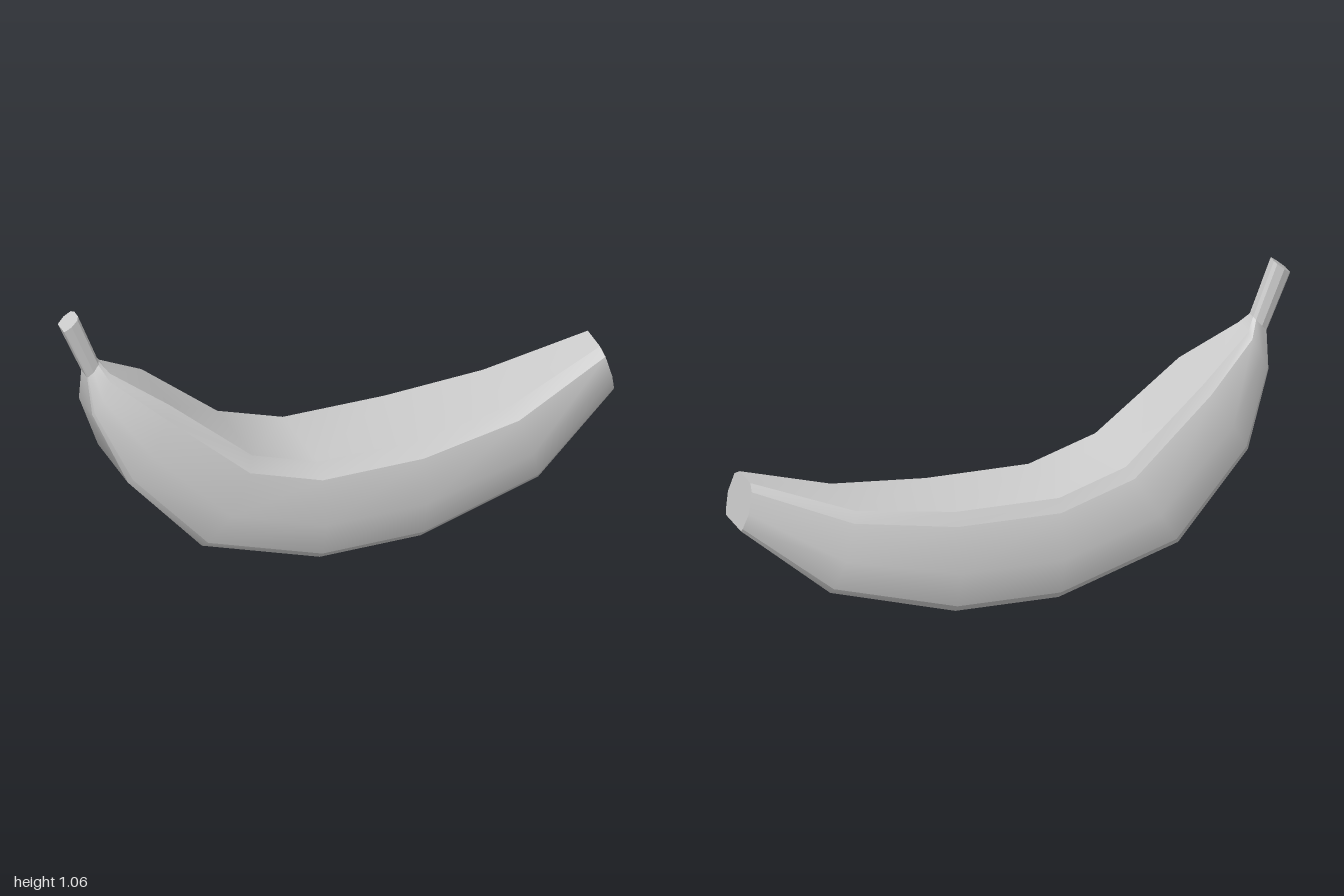
import * as THREE from 'three';

// Cross-sections from blunt tip to stem:
// top x, top y, bottom x, bottom y, half width, top flat ratio front / back
const SECTIONS = [
  [0.95, 0.53, 0.99, 0.365, 0.107, 0.48, 0.55],
  [0.60, 0.41, 0.69, 0.12, 0.19, 0.60, 0.73],
  [0.25, 0.37, 0.25, 0.003, 0.228, 0.63, 0.74],
  [-0.12, 0.37, -0.12, 0.003, 0.23, 0.63, 0.74],
  [-0.36, 0.45, -0.55, 0.145, 0.228, 0.63, 0.74],
  [-0.65, 0.70, -0.81, 0.44, 0.19, 0.60, 0.72],
  [-0.84, 0.83, -0.91, 0.69, 0.085, 0.55, 0.6],
  [-0.87, 0.87, -0.915, 0.82, 0.038, 0.45, 0.45],
  [-0.945, 1.065, -1.0, 1.02, 0.038, 0.45, 0.45],
];

// Ten-point ring: top edge, bevel, belly, lower bevel, bottom edge on each side
function ring([tx, ty, bx, by, w, front, back]) {
  const at = (drop, z) => new THREE.Vector3(tx + (bx - tx) * drop, ty + (by - ty) * drop, z * w);
  const side = (s, flat) => [
    at(0, s * flat), at(0.13, s * 0.83), at(0.56, s), at(0.93, s * 0.81), at(1, s * 0.71),
  ];
  const [backTop, ...backRest] = side(-1, back);
  return [backTop, ...side(1, front), ...backRest.reverse()];
}

const material = new THREE.MeshStandardMaterial({ color: 0xcccccc });

function makeMesh(name, points, index) {
  const geometry = new THREE.BufferGeometry().setFromPoints(points);
  geometry.setIndex(index);
  geometry.computeVertexNormals();
  const mesh = new THREE.Mesh(geometry, material);
  mesh.name = name;
  return mesh;
}

// Lengthwise strip through the listed ring corners, smooth within itself
function strip(name, rings, corners) {
  const n = corners.length;
  const points = rings.flatMap((r) => corners.map((c) => r[c]));
  const index = [];
  for (let i = 0; i < rings.length - 1; i++) {
    for (let j = 0; j < n - 1; j++) {
      const a = i * n + j, b = a + 1, d = a + n, c = d + 1;
      index.push(a, d, c, a, c, b);
    }
  }
  return makeMesh(name, points, index);
}

// Flat end face
function cap(name, points) {
  const index = [];
  for (let j = 1; j < points.length - 1; j++) index.push(0, j, j + 1);
  return makeMesh(name, points, index);
}

export function createModel() {
  const model = new THREE.Group();
  model.name = 'banana';
  const rings = SECTIONS.map(ring);

  // Curved fruit, creased along its bevels
  const peel = new THREE.Group();
  peel.name = 'peel';
  const bodyRings = rings.slice(0, 8);
  const strips = {
    innerCurve: [0, 1],
    frontUpperBevel: [1, 2],
    frontSide: [2, 3, 4],
    frontLowerBevel: [4, 5],
    outerCurve: [5, 6],
    backLowerBevel: [6, 7],
    backSide: [7, 8, 9],
    backUpperBevel: [9, 0],
  };
  for (const [name, corners] of Object.entries(strips)) peel.add(strip(name, bodyRings, corners));
  peel.add(cap('bluntTip', rings[0]));

  // Faceted stem
  const stem = new THREE.Group();
  stem.name = 'stem';
  const stemRings = rings.slice(7);
  for (let j = 0; j < 10; j++) stem.add(strip('stemFacet' + j, stemRings, [j, (j + 1) % 10]));
  stem.add(cap('stemEnd', [...rings[8]].reverse()));

  model.add(peel, stem);
  return model;
}
